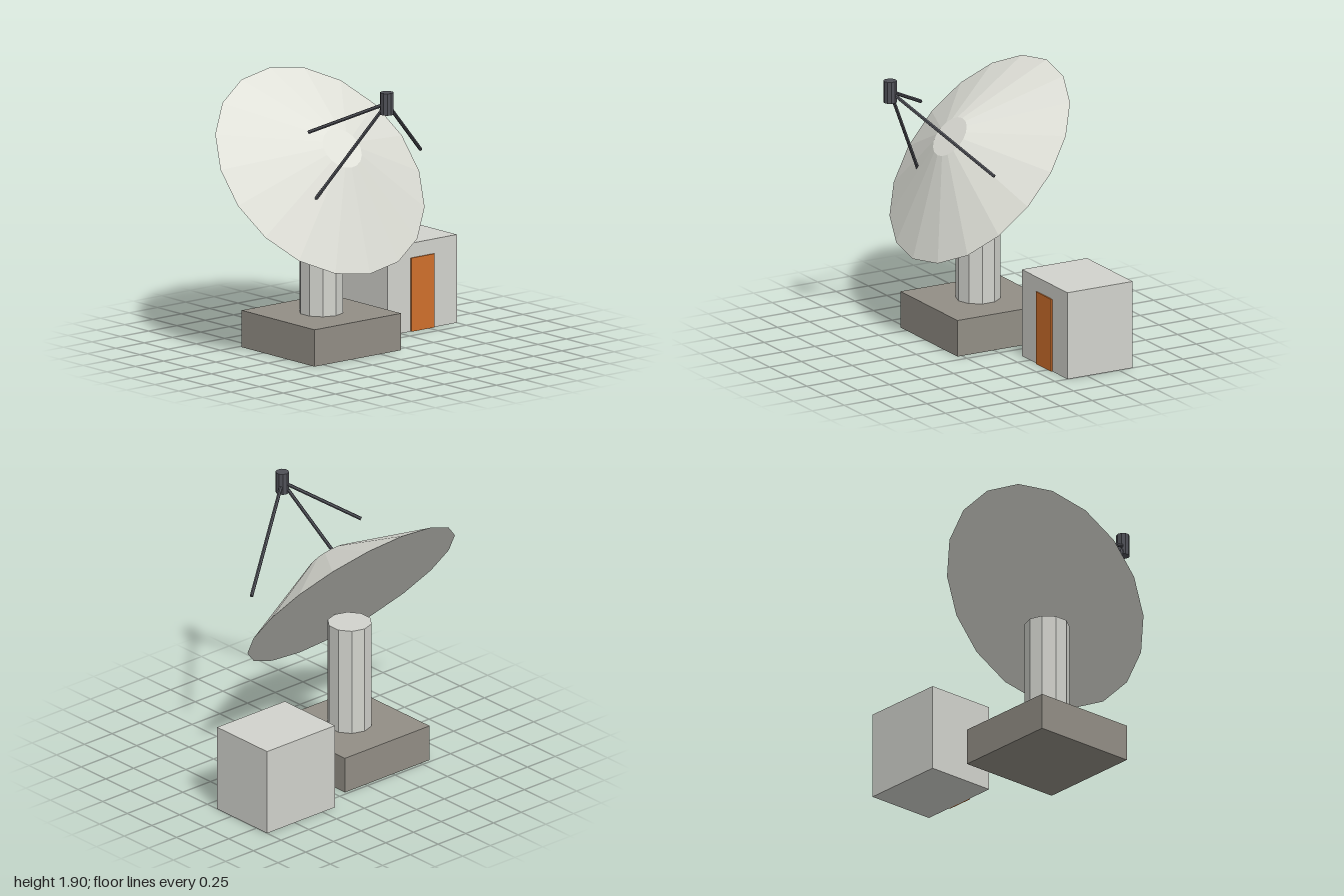
import * as THREE from 'three';

const material = (name, color, flatShading = true) => {
  const m = new THREE.MeshStandardMaterial({ color, flatShading });
  m.name = name;
  return m;
};

export function createModel() {
  const white = material('dish white', 0xe0e1d9);
  const grey = material('light grey', 0xd2d3cd);
  const concrete = material('concrete', 0x928e85);
  const orange = material('door orange', 0xd0702c);
  const dark = material('dark metal', 0x505158);

  const model = new THREE.Group();
  model.name = 'satelliteDishStation';

  const add = (name, geometry, mat, x, y, z) => {
    const mesh = new THREE.Mesh(geometry, mat);
    mesh.name = name;
    mesh.position.set(x, y, z);
    model.add(mesh);
    return mesh;
  };

  const cx = -0.198; // shared axis of base, pillar, dish and feed

  // Foundation and pillar
  add('foundation', new THREE.BoxGeometry(0.764, 0.255, 0.764), concrete, cx, 0.1275, -0.097);
  add('pillar', new THREE.CylinderGeometry(0.152, 0.152, 0.764, 10), grey, cx, 0.637, -0.097);

  // Dish: closed shallow frustum, tilted 50 degrees forward
  const tilt = THREE.MathUtils.degToRad(50);
  const dish = add('dish', new THREE.CylinderGeometry(0.152, 0.813, 0.305, 18), white,
    cx, 1.23 + 0.1525 * Math.cos(tilt), -0.112 + 0.1525 * Math.sin(tilt));
  dish.rotation.x = tilt;

  // Feed horn held by three struts
  const feed = new THREE.Vector3(cx, 1.82, 0.588);
  add('feedHorn', new THREE.CylinderGeometry(0.046, 0.046, 0.152, 10), dark, feed.x, feed.y, feed.z);
  const up = new THREE.Vector3(0, 1, 0);
  for (let i = 0; i < 3; i++) {
    const a = (i * Math.PI * 2) / 3;
    const end = new THREE.Vector3(cx + 0.66 * Math.cos(a), 1.328 + 0.306 * Math.sin(a), 0.158);
    const dir = end.clone().sub(feed);
    const mid = feed.clone().add(end).multiplyScalar(0.5);
    const strut = add('strut' + (i + 1), new THREE.CylinderGeometry(0.0125, 0.0125, dir.length(), 6),
      dark, mid.x, mid.y, mid.z);
    strut.quaternion.setFromUnitVectors(up, dir.normalize());
  }

  // Equipment shed with door
  add('shed', new THREE.BoxGeometry(0.611, 0.611, 0.509), grey, 0.694, 0.3055, -0.353);
  add('door', new THREE.BoxGeometry(0.204, 0.51, 0.009), orange, 0.694, 0.255, -0.094);

  return model;
}
